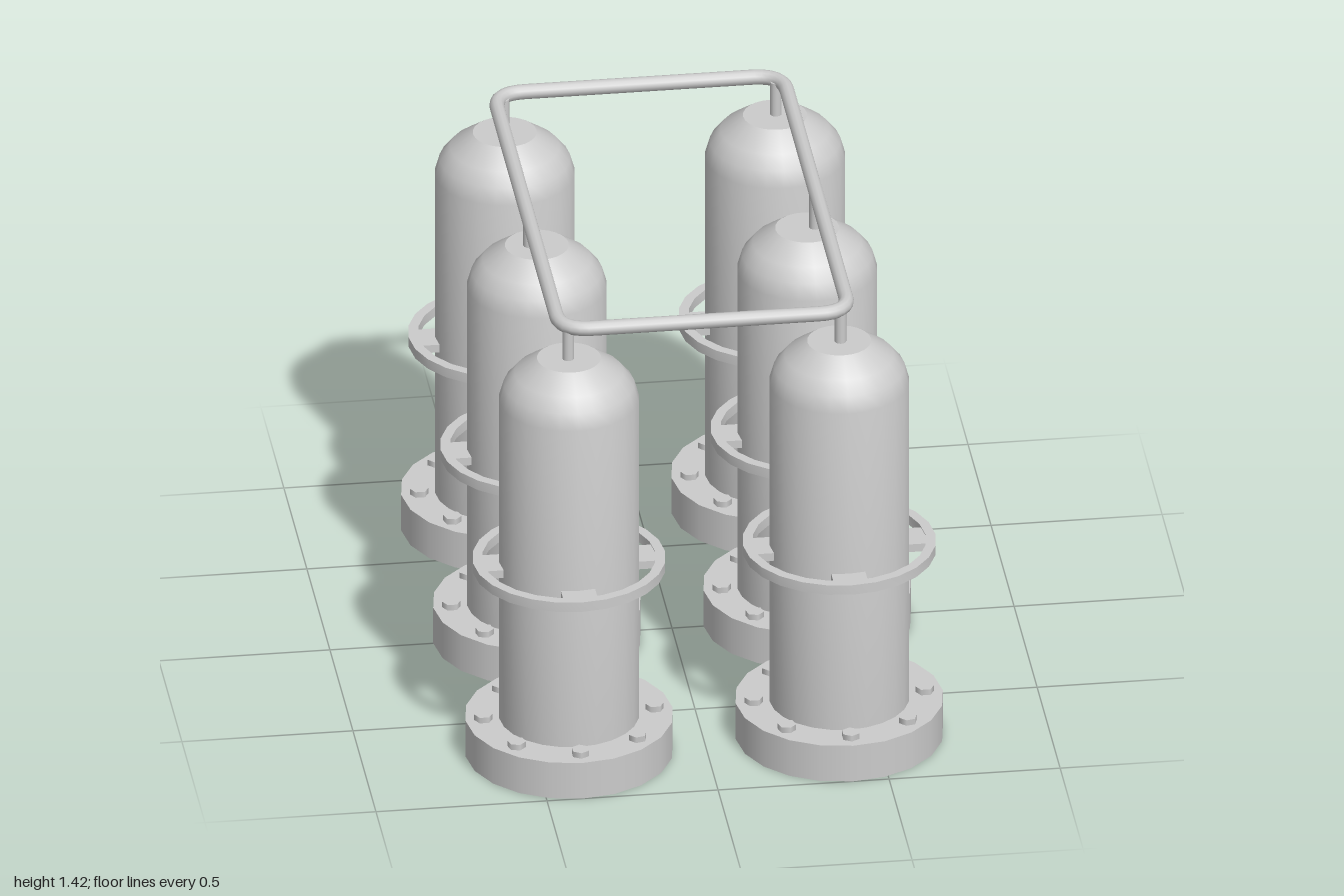
import * as THREE from 'three';
import { toCreasedNormals } from 'three/addons/utils/BufferGeometryUtils.js';

const material = new THREE.MeshStandardMaterial({ color: 0xcccccc });
const TANK_X = 0.395, TANK_Z = 0.697;
const PIPE_Y = 1.394;

function add(parent, name, geometry, x = 0, y = 0, z = 0) {
  const mesh = new THREE.Mesh(geometry, material);
  mesh.name = name;
  mesh.position.set(x, y, z);
  parent.add(mesh);
  return mesh;
}

// Turned shape with smooth sides and sharp rims
function turned(profile, sides) {
  const points = profile.map(([r, y]) => new THREE.Vector2(r, y));
  return toCreasedNormals(new THREE.LatheGeometry(points, sides), 0.5);
}

const baseGeo = new THREE.CylinderGeometry(0.303, 0.303, 0.117, 20);
const boltGeo = new THREE.CylinderGeometry(0.027, 0.027, 0.03, 6);
const bodyGeo = turned([
  [0.204, 0.1], [0.204, 1.155], [0.19, 1.204], [0.159, 1.242], [0.093, 1.289], [0, 1.289],
], 24);
const ringGeo = turned([
  [0.252, 0.602], [0.281, 0.602], [0.281, 0.633], [0.252, 0.633], [0.252, 0.602],
], 24);
const bracketGeo = new THREE.BoxGeometry(0.075, 0.025, 0.1);

function createTank() {
  const tank = new THREE.Group();
  tank.name = 'tank';
  add(tank, 'base', baseGeo, 0, 0.0585, 0);
  add(tank, 'body', bodyGeo);
  add(tank, 'guardRing', ringGeo);

  // Bolts around the base flange
  for (let i = 0; i < 8; i++) {
    const a = i * Math.PI / 4;
    add(tank, 'bolt', boltGeo, 0.25 * Math.sin(a), 0.12, 0.25 * Math.cos(a)).rotation.y = a;
  }
  // Brackets joining the ring to the body
  for (let i = 0; i < 4; i++) {
    const a = i * Math.PI / 2;
    add(tank, 'ringBracket', bracketGeo, 0.225 * Math.cos(a), 0.6175, -0.225 * Math.sin(a)).rotation.y = a;
  }
  return tank;
}

// Closed rectangular pipe run with rounded corners
function pipeGeometry() {
  const x = 0.423, front = 0.722, back = -0.74, r = 0.092;
  const corners = [[x, front], [x, back], [-x, back], [-x, front]]
    .map(([cx, cz]) => new THREE.Vector3(cx, PIPE_Y, cz));
  const toward = (a, b) => a.clone().add(b.clone().sub(a).setLength(r));
  const path = new THREE.CurvePath();
  corners.forEach((c, i) => {
    const next = corners[(i + 1) % 4], prev = corners[(i + 3) % 4];
    path.add(new THREE.QuadraticBezierCurve3(toward(c, prev), c, toward(c, next)));
    path.add(new THREE.LineCurve3(toward(c, next), toward(next, c)));
  });
  return new THREE.TubeGeometry(path, 200, 0.022, 12, true);
}

export function createModel() {
  const model = new THREE.Group();
  model.name = 'tankBattery';
  const postGeo = new THREE.CylinderGeometry(0.017, 0.017, 0.115, 12);

  // Two rows of three tanks, each with a riser up to the pipe
  for (const side of [-1, 1]) {
    for (const row of [-1, 0, 1]) {
      const tank = createTank();
      tank.position.set(side * TANK_X, 0, row * TANK_Z);
      model.add(tank);
      add(model, 'riser', postGeo, side * (row ? 0.398 : 0.418), 1.3375, row * 0.702);
    }
  }
  add(model, 'connectingPipe', pipeGeometry());
  return model;
}
